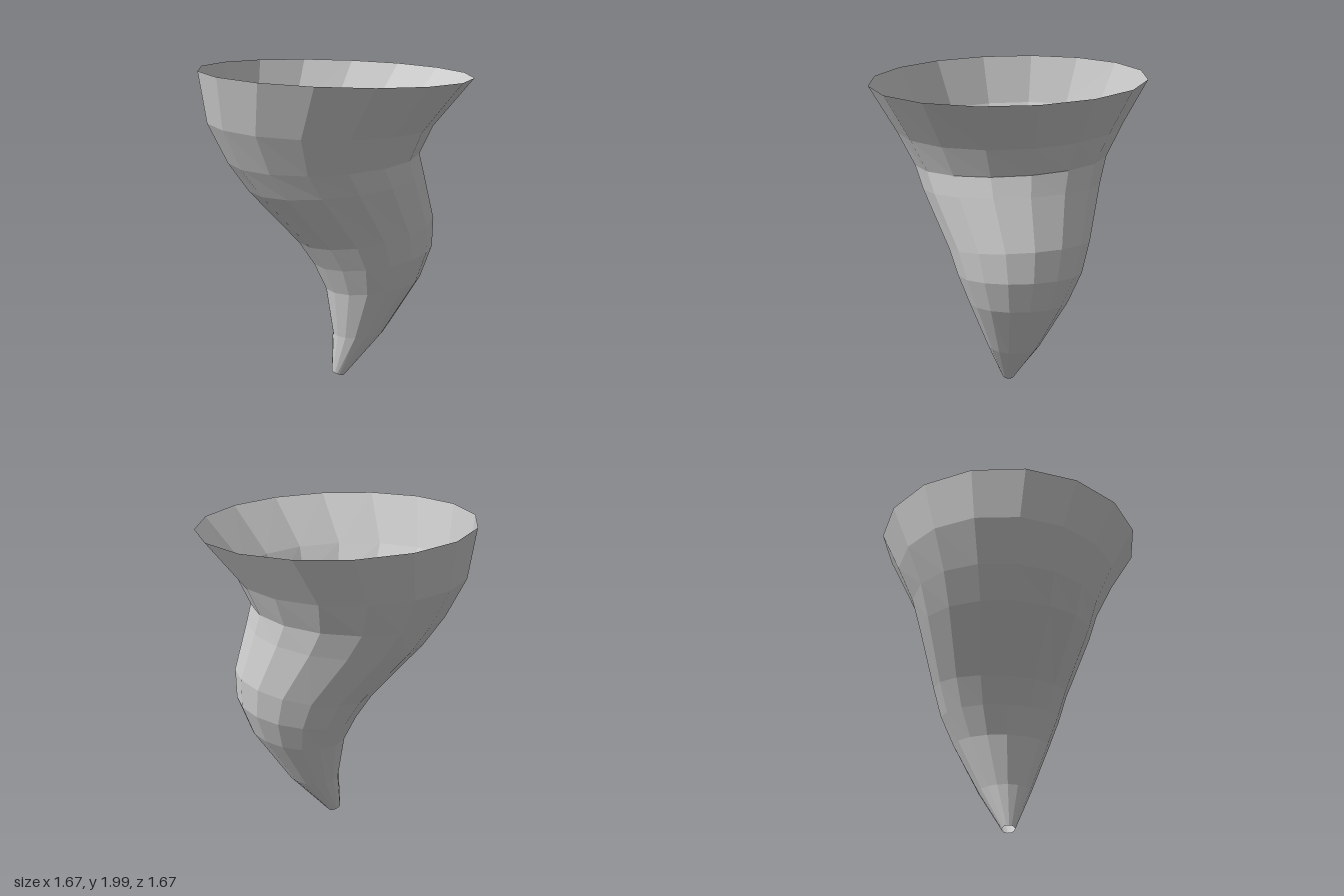
import * as THREE from 'three';

const SIDES = 16;
const TWIST = THREE.MathUtils.degToRad(6.5);

// Rings from tip to rim: centre x, y, z, radius, then tilt (rise per unit x and z)
const RINGS = [
  [0.013, 0.02, -0.01, 0.04, -0.25, 0.2],
  [0.115, 0.295, -0.1, 0.165, 0.03, 0],
  [0.185, 0.63, -0.17, 0.307, 0.1, -0.07],
  [0.18, 0.815, -0.175, 0.382, 0.118, -0.09],
  [0.14, 0.985, -0.15, 0.433, 0.128, -0.13],
  [-0.01, 1.31, -0.02, 0.55, 0.074, -0.075],
  [-0.075, 1.46, 0.02, 0.597, 0.017, -0.06],
  [-0.09, 1.67, 0.035, 0.697, -0.03, -0.02],
  [0, 1.97, 0, 0.84, -0.036, -0.006],
];

// Open tube lofted through tilted rings
function loft(rings, sides) {
  const positions = [];
  const indices = [];
  rings.forEach(([cx, cy, cz, r, tiltX, tiltZ], j) => {
    for (let i = 0; i < sides; i++) {
      const a = TWIST + (i / sides) * Math.PI * 2;
      const dx = r * Math.cos(a);
      const dz = r * Math.sin(a);
      positions.push(cx + dx, cy + tiltX * dx + tiltZ * dz, cz + dz);
      if (j === 0) continue;
      const n = (i + 1) % sides;
      const lo = (j - 1) * sides;
      const hi = j * sides;
      indices.push(lo + i, hi + i, hi + n, lo + i, hi + n, lo + n);
    }
  });
  const geometry = new THREE.BufferGeometry();
  geometry.setAttribute('position', new THREE.Float32BufferAttribute(positions, 3));
  geometry.setIndex(indices);
  geometry.computeVertexNormals();
  return geometry;
}

export function createModel() {
  const group = new THREE.Group();
  group.name = 'whirlwind';

  // Thin bent funnel, open at the rim and the tip
  const material = new THREE.MeshStandardMaterial({
    color: 0xcccccc,
    flatShading: true,
    side: THREE.DoubleSide,
  });
  const funnel = new THREE.Mesh(loft(RINGS, SIDES), material);
  funnel.name = 'funnel';
  group.add(funnel);
  return group;
}
